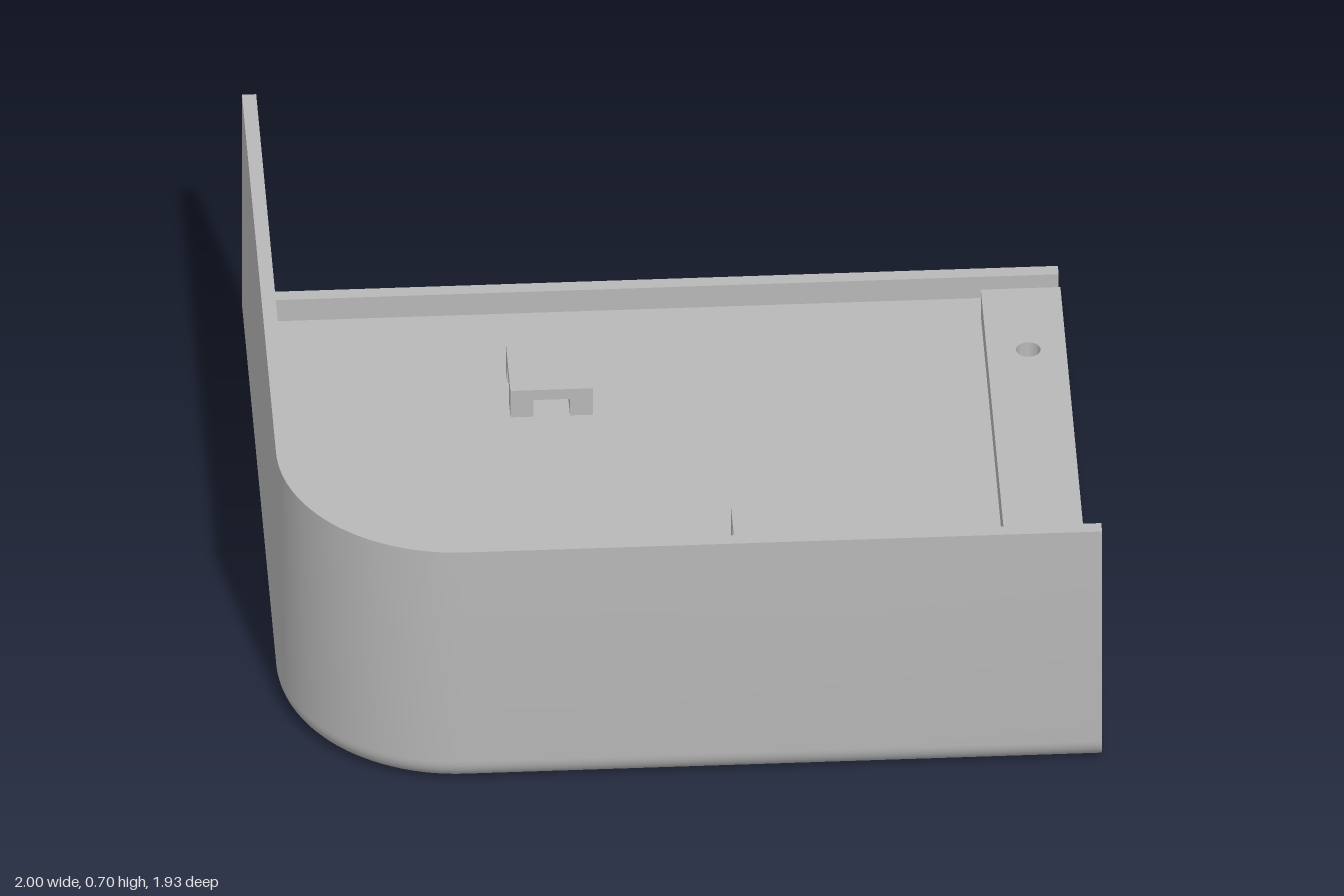
import * as THREE from 'three';
import { toCreasedNormals } from 'three/addons/utils/BufferGeometryUtils.js';

const H = 0.704, D = 0.965, R = 0.44; // height, half depth, corner radius
const WALL = 0.035, FLOOR = 0.04, FILLET = 0.07;

// Upright wall with rounded lower edge, swept along left side, corner and front
function wallGeometry() {
  const section = [[FILLET, FLOOR], [WALL, FLOOR], [WALL, H], [0, H]];
  for (let i = 0; i <= 10; i++) {
    const a = (i / 10) * Math.PI / 2;
    section.push([FILLET * (1 - Math.cos(a)), FILLET * (1 - Math.sin(a))]);
  }
  const path = [{ x: -1, z: -D, nx: 1, nz: 0 }];
  for (let i = 0; i <= 32; i++) {
    const a = (i / 32) * Math.PI / 2, c = Math.cos(a), s = Math.sin(a);
    path.push({ x: -1 + R - R * c, z: D - R + R * s, nx: c, nz: -s });
  }
  path.push({ x: 1, z: D, nx: 0, nz: -1 });

  const positions = [], index = [], n = section.length;
  for (const p of path)
    for (const [d, y] of section) positions.push(p.x + p.nx * d, y, p.z + p.nz * d);
  for (let r = 0; r < path.length - 1; r++)
    for (let k = 0; k < n - 1; k++) {
      const a = r * n + k, b = a + n;
      index.push(a, a + 1, b, a + 1, b + 1, b);
    }
  // end caps
  const last = (path.length - 1) * n;
  const caps = THREE.ShapeUtils.triangulateShape(section.map(([x, y]) => new THREE.Vector2(x, y)), []);
  for (const [a, b, c] of caps) index.push(a, c, b, last + a, last + b, last + c);

  const g = new THREE.BufferGeometry();
  g.setAttribute('position', new THREE.Float32BufferAttribute(positions, 3));
  g.setIndex(index);
  return toCreasedNormals(g, 0.5);
}

// Extrude a plan shape (drawn in x, -z) upwards from y
function slab(shape, y, height) {
  const g = new THREE.ExtrudeGeometry(shape, { depth: height, bevelEnabled: false, curveSegments: 32 });
  return toCreasedNormals(g.rotateX(-Math.PI / 2).translate(0, y, 0), 0.5);
}

function box(x0, x1, y0, y1, z0, z1) {
  return new THREE.BoxGeometry(x1 - x0, y1 - y0, z1 - z0)
    .translate((x0 + x1) / 2, (y0 + y1) / 2, (z0 + z1) / 2);
}

export function createModel() {
  const model = new THREE.Group();
  model.name = 'openTray';
  const grey = new THREE.MeshStandardMaterial({ color: 0xb8b8b8 });
  grey.name = 'light grey';
  const add = (name, geometry, parent = model) => {
    const mesh = new THREE.Mesh(geometry, grey);
    mesh.name = name;
    parent.add(mesh);
  };

  add('curvedWall', wallGeometry());

  // Floor plate inside the rounded edge
  const r = R - FILLET, left = -1 + FILLET, front = -D + FILLET;
  const plan = new THREE.Shape();
  plan.moveTo(1, D);
  plan.lineTo(left, D);
  plan.lineTo(left, front + r);
  plan.absarc(left + r, front + r, r, Math.PI, Math.PI * 1.5, false);
  plan.lineTo(1, front);
  plan.closePath();
  add('floor', slab(plan, 0, FLOOR));

  add('backLip', box(-1 + WALL, 1, FLOOR, 0.104, -D, -D + WALL));

  // Mounting rail with two screw holes
  const rail = new THREE.Shape();
  rail.moveTo(0.805, -0.615);
  rail.lineTo(1, -0.615);
  rail.lineTo(1, 0.855);
  rail.lineTo(0.805, 0.855);
  rail.closePath();
  for (const z of [-0.6, 0.36]) {
    const hole = new THREE.Path();
    hole.absarc(0.907, -z, 0.03, 0, Math.PI * 2, true);
    rail.holes.push(hole);
  }
  add('mountingRail', slab(rail, FLOOR, 0.08));

  // Tie blocks: four feet under a cap, leaving crossed tunnels
  for (const [x, z] of [[-0.267, -0.6], [0.245, 0.102]]) {
    const block = new THREE.Group();
    block.name = 'tieBlock';
    block.position.set(x, FLOOR, z);
    add('cap', box(-0.101, 0.101, 0.05, 0.08, -0.101, 0.101), block);
    for (const sx of [-1, 1])
      for (const sz of [-1, 1])
        add('foot', box(-0.028, 0.028, 0, 0.05, -0.028, 0.028).translate(sx * 0.073, 0, sz * 0.073), block);
    model.add(block);
  }
  return model;
}
